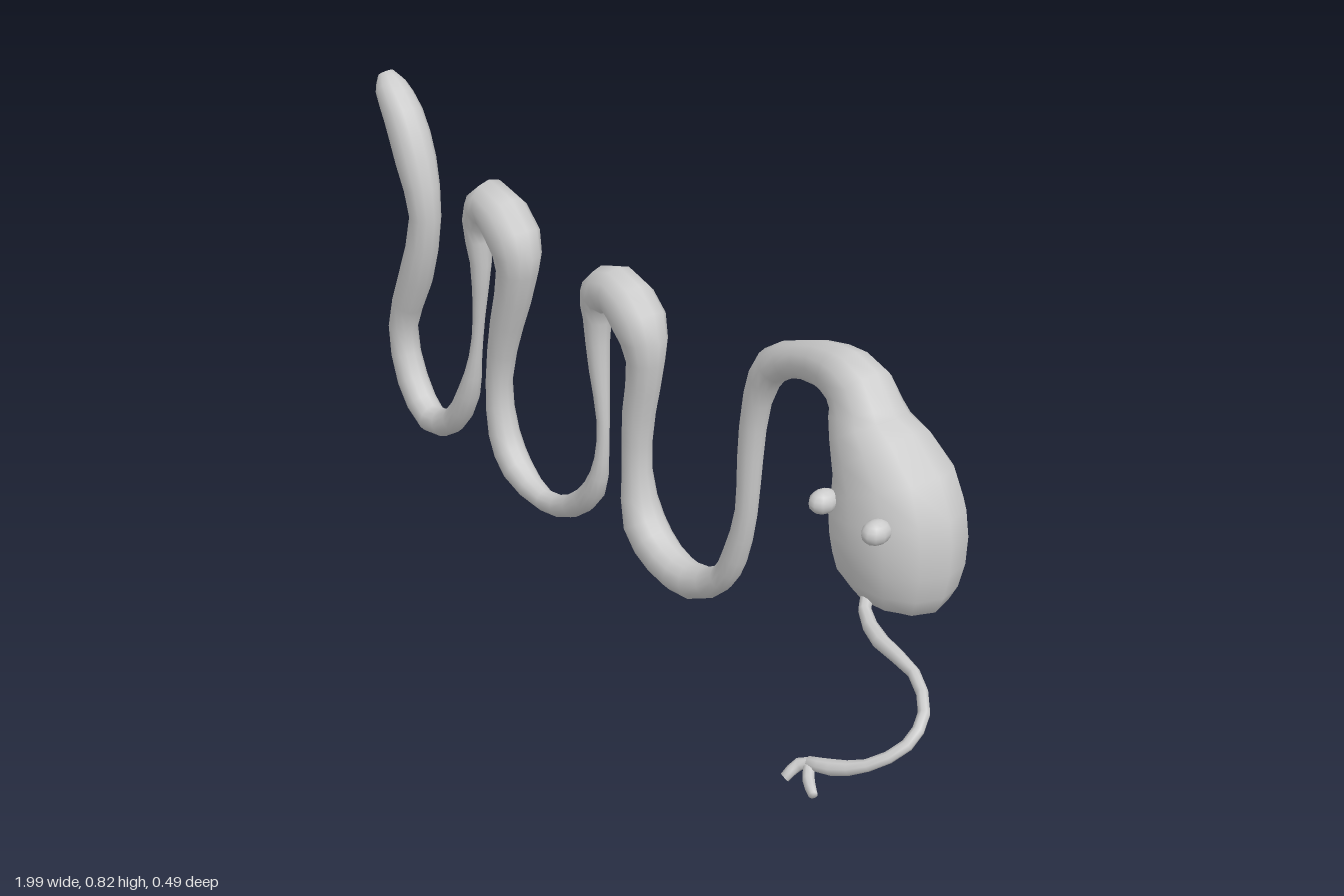
import * as THREE from 'three';

const material = new THREE.MeshStandardMaterial({ color: 0xcccccc });

// Closed tube through rows [x, y, z, radius in the plane, radius along ref]
function loft(name, rows, ref, sides, steps) {
  const path = new THREE.CatmullRomCurve3(rows.map(p => new THREE.Vector3(p[0], p[1], p[2])));
  const size = new THREE.CatmullRomCurve3(
    rows.map(p => new THREE.Vector3(p[3], p[4] ?? p[3], 0)), false, 'catmullrom', 0.5);
  const count = (rows.length - 1) * steps;
  const pos = [], index = [];
  for (let i = 0; i <= count; i++) {
    const t = i / count, c = path.getPoint(t), r = size.getPoint(t);
    const tangent = path.getTangent(t);
    const n = tangent.clone().cross(ref).normalize();
    const b = tangent.clone().cross(n);
    for (let j = 0; j < sides; j++) {
      const a = j / sides * Math.PI * 2;
      const p = c.clone().addScaledVector(n, Math.cos(a) * r.x).addScaledVector(b, Math.sin(a) * r.y);
      pos.push(p.x, p.y, p.z);
      if (i < count) {
        const k = (j + 1) % sides, o = i * sides, q = o + sides;
        index.push(o + j, o + k, q + j, o + k, q + k, q + j);
      }
    }
  }
  // End caps
  const first = rows[0], last = rows[rows.length - 1];
  const s = pos.length / 3, e = s + 1, o = count * sides;
  pos.push(...first.slice(0, 3), ...last.slice(0, 3));
  for (let j = 0; j < sides; j++) {
    const k = (j + 1) % sides;
    index.push(s, k, j, e, o + j, o + k);
  }
  const g = new THREE.BufferGeometry();
  g.setAttribute('position', new THREE.Float32BufferAttribute(pos, 3));
  g.setIndex(index);
  g.computeVertexNormals();
  const mesh = new THREE.Mesh(g, material);
  mesh.name = name;
  return mesh;
}

export function createModel() {
  const group = new THREE.Group();
  group.name = 'snake';

  // Winding body centreline from tail to neck: x, y, radius
  const body = [
    [-0.98, 0.815, 0.018], [-0.962, 0.79, 0.036], [-0.915, 0.74, 0.045], [-0.87, 0.65, 0.046],
    [-0.84, 0.53, 0.036], [-0.888, 0.37, 0.04], [-0.947, 0.23, 0.034], [-0.915, 0.11, 0.036],
    [-0.84, 0.043, 0.034], [-0.75, 0.075, 0.028], [-0.685, 0.17, 0.026],
    [-0.655, 0.27, 0.015], [-0.638, 0.37, 0.014], [-0.626, 0.5, 0.024], [-0.632, 0.59, 0.036],
    [-0.58, 0.648, 0.053], [-0.5, 0.6, 0.058], [-0.49, 0.53, 0.046], [-0.53, 0.4, 0.038],
    [-0.565, 0.25, 0.03], [-0.55, 0.13, 0.035], [-0.5, 0.063, 0.035], [-0.4, 0.031, 0.024],
    [-0.3, 0.063, 0.025], [-0.22, 0.14, 0.025], [-0.195, 0.22, 0.016], [-0.19, 0.31, 0.014],
    [-0.203, 0.42, 0.022], [-0.21, 0.53, 0.03], [-0.2, 0.585, 0.044], [-0.14, 0.616, 0.052],
    [-0.07, 0.575, 0.056], [-0.05, 0.5, 0.04], [-0.07, 0.38, 0.035], [-0.075, 0.25, 0.032],
    [-0.05, 0.14, 0.045], [0.02, 0.088, 0.043], [0.11, 0.08, 0.038], [0.2, 0.13, 0.026],
    [0.24, 0.2, 0.026], [0.27, 0.31, 0.023], [0.277, 0.43, 0.026], [0.293, 0.56, 0.029],
    [0.335, 0.645, 0.035], [0.42, 0.69, 0.036], [0.51, 0.706, 0.05],
  ].map(([x, y, r]) => [x, y, -0.143 - 0.025 * (0.3 - x) / 1.3, r, r * 0.95]);

  // Head swelling out of the neck
  const head = [
    [0.575, 0.69, -0.135, 0.066, 0.06], [0.605, 0.635, -0.134, 0.077, 0.075],
    [0.67, 0.555, -0.132, 0.127, 0.104], [0.69, 0.47, -0.132, 0.136, 0.114],
    [0.695, 0.39, -0.13, 0.12, 0.1], [0.69, 0.348, -0.13, 0.088, 0.07],
    [0.69, 0.328, -0.13, 0.035, 0.025],
  ];
  group.add(loft('bodyAndHead', [...body, ...head], new THREE.Vector3(0, 0, 1), 12, 2));

  // Bulging eyes
  for (const [name, x] of [['rightEye', 0.612], ['leftEye', 0.748]]) {
    const eye = new THREE.Mesh(new THREE.SphereGeometry(0.023, 10, 8), material);
    eye.name = name;
    eye.position.set(x, 0.525, -0.026);
    eye.scale.z = 1.3;
    group.add(eye);
  }

  // Curling tongue, lying in a sloping plane, with a forked tip
  const slope = new THREE.Vector3(0, 1.6, 1).normalize();
  group.add(loft('tongue', [
    [0.69, 0.38, -0.075, 0.012], [0.72, 0.353, -0.035, 0.012], [0.8, 0.342, 0, 0.015],
    [0.9, 0.335, 0.015, 0.011], [0.97, 0.307, 0.055, 0.011], [0.985, 0.272, 0.105, 0.011],
    [0.95, 0.235, 0.16, 0.011], [0.895, 0.213, 0.19, 0.015], [0.853, 0.206, 0.203, 0.011],
  ], slope, 8, 2));
  group.add(loft('tongueForkRight', [
    [0.868, 0.208, 0.198, 0.01], [0.84, 0.199, 0.212, 0.011], [0.833, 0.178, 0.238, 0.009],
  ], slope, 8, 2));
  group.add(loft('tongueForkLeft', [
    [0.853, 0.206, 0.2, 0.01], [0.873, 0.19, 0.22, 0.011], [0.905, 0.182, 0.237, 0.008],
  ], slope, 8, 2));

  return group;
}
